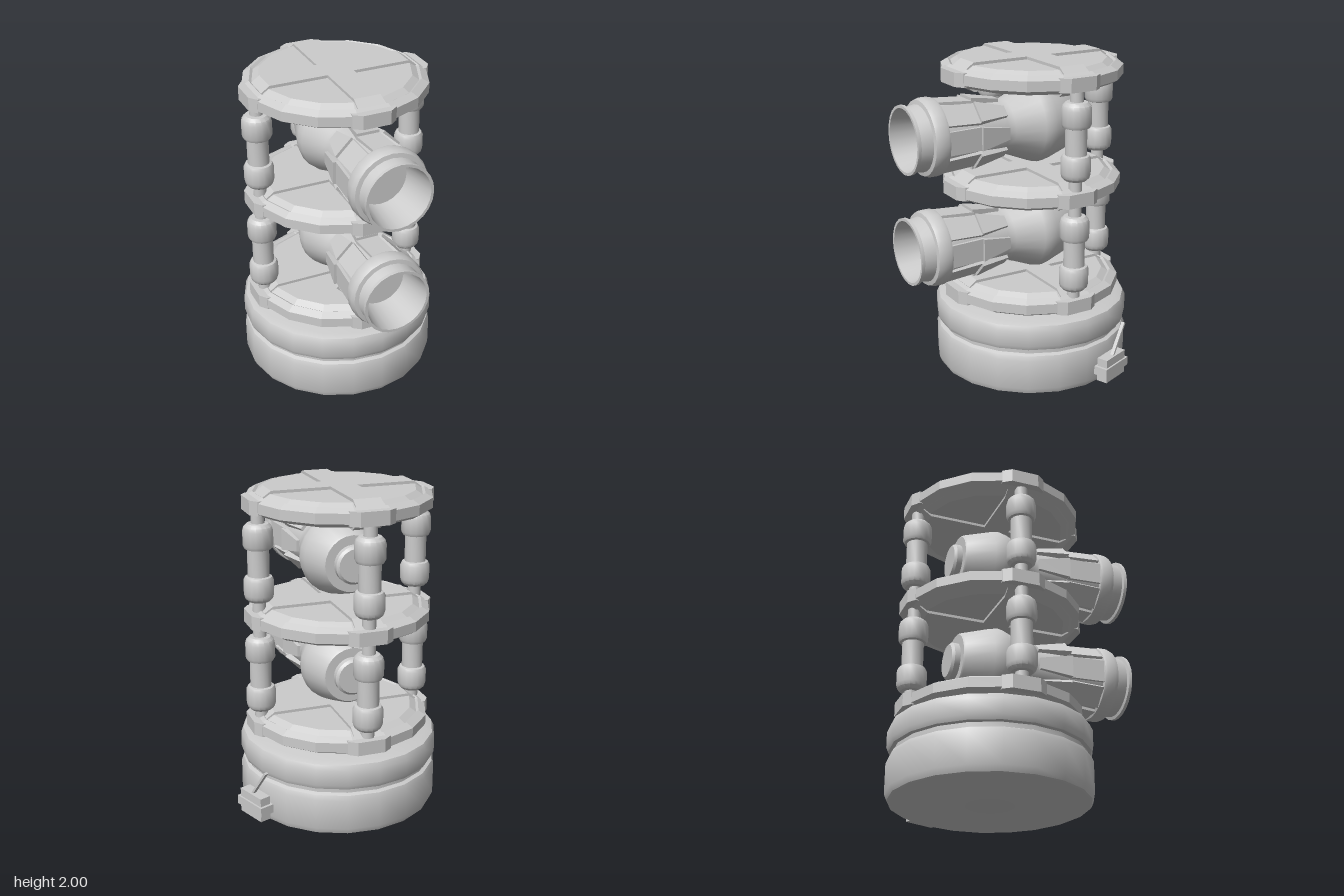
import * as THREE from 'three';
import { toCreasedNormals } from 'three/addons/utils/BufferGeometryUtils.js';

const smooth = new THREE.MeshStandardMaterial({ color: 0xcccccc });
const flat = new THREE.MeshStandardMaterial({ color: 0xcccccc, flatShading: true });
const CX = -0.045, CZ = -0.125; // axis of the stack
const DISCS = [0.55, 1.223, 1.91]; // disc mid heights
const LEVELS = [0.88, 1.57]; // barrel heights

function add(parent, name, geometry, material = smooth) {
  const mesh = new THREE.Mesh(geometry, material);
  mesh.name = name;
  parent.add(mesh);
  return mesh;
}

function lathe(points, sides, start = 0) {
  const pts = points.map(([r, y]) => new THREE.Vector2(r, y));
  return toCreasedNormals(new THREE.LatheGeometry(pts, sides, start), 0.6);
}

function prism(points, depth) {
  const shape = new THREE.Shape(points.map(([x, y]) => new THREE.Vector2(x, y)));
  return new THREE.ExtrudeGeometry(shape, { depth, bevelEnabled: false }).translate(0, 0, -depth / 2);
}

// Chamfered disc with a raised cross on both faces and four edge clamps
function makeDisc() {
  const disc = new THREE.Group();
  disc.name = 'disc';
  add(disc, 'plate', lathe([
    [0, -0.07], [0.455, -0.07], [0.495, -0.045], [0.51, -0.055], [0.555, -0.03],
    [0.555, 0.03], [0.51, 0.055], [0.495, 0.045], [0.455, 0.07], [0, 0.07],
  ], 16, Math.PI / 16), flat);
  const bar = prism([
    [-0.5, -0.045], [-0.44, -0.087], [0.44, -0.087], [0.5, -0.045],
    [0.5, 0.045], [0.44, 0.087], [-0.44, 0.087], [-0.5, 0.045],
  ], 0.165);
  const clamp = prism([
    [-0.085, 0.45], [0.085, 0.45], [0.135, 0.49], [0.135, 0.535],
    [0.085, 0.572], [-0.085, 0.572], [-0.135, 0.535], [-0.135, 0.49],
  ], 0.084).rotateX(Math.PI / 2);
  for (let i = 0; i < 4; i++) {
    if (i < 2) add(disc, 'crossBar', bar, flat).rotation.y = i * Math.PI / 2;
    add(disc, 'edgeClamp', clamp, flat).rotation.y = i * Math.PI / 2;
  }
  return disc;
}

// Upright post with two rounded collars, centred on its own middle
function makePost() {
  const half = [[0.04, 0.335], [0.04, 0.235], [0.065, 0.233], [0.083, 0.215],
    [0.09, 0.19], [0.09, 0.105], [0.08, 0.085], [0.065, 0.08]];
  const lower = half.map(([r, y]) => [r, -y]);
  return lathe([...lower, ...half.reverse()], 16);
}

// Barrel pointing to +z, with a stepped bore and tapered ribs
function makeBarrel() {
  const barrel = new THREE.Group();
  barrel.name = 'barrel';
  add(barrel, 'barrelBody', lathe([
    [0, -0.41], [0.1, -0.41], [0.115, -0.395], [0.115, -0.36], [0.17, -0.36], [0.18, -0.35],
    [0.235, -0.18], [0.246, -0.13], [0.238, -0.09], [0.17, 0.08], [0.167, 0.13],
    [0.195, 0.33], [0.213, 0.54], [0.23, 0.545], [0.235, 0.56], [0.235, 0.61], [0.225, 0.635],
    [0.2, 0.64], [0.187, 0.715], [0.207, 0.72], [0.207, 0.74], [0.19, 0.74],
    [0.165, 0.55], [0.16, 0.5], [0, 0.5],
  ], 24).rotateX(Math.PI / 2));

  // Ribs narrow and drop toward the waist
  const rib = new THREE.BoxGeometry(1, 1, 1);
  const p = rib.attributes.position;
  for (let i = 0; i < p.count; i++) {
    const wide = p.getZ(i) > 0, top = p.getY(i) > 0;
    p.setXYZ(i, Math.sign(p.getX(i)) * (wide ? 0.07 : 0.035),
      top ? (wide ? 0.218 : 0.184) : 0.12, wide ? 0.33 : 0.13);
  }
  // Thin cover strips continue the ribs up to the muzzle band
  const strip = rib.clone();
  const q = strip.attributes.position;
  for (let i = 0; i < q.count; i++) {
    const front = q.getZ(i) > 0.2, top = q.getY(i) > 0.15;
    q.setXYZ(i, Math.sign(q.getX(i)) * 0.07, top ? (front ? 0.216 : 0.2) : 0.17, front ? 0.545 : 0.32);
  }
  for (let i = 0; i < 8; i++) {
    add(barrel, 'rib', rib, flat).rotation.z = i * Math.PI / 4;
    add(barrel, 'coverStrip', strip, flat).rotation.z = i * Math.PI / 4;
  }
  return barrel;
}

// Small tiered box with a slanted aerial; local x is outward
function makeTransmitter() {
  const unit = new THREE.Group();
  unit.name = 'transmitter';
  const tiers = [[0.07, 0.05, 0.2, 0.065], [0.092, 0.055, 0.235, 0.113], [0.07, 0.055, 0.2, 0.165]];
  for (const [w, h, d, y] of tiers) {
    add(unit, 'transmitterTier', new THREE.BoxGeometry(w, h, d).translate(0, y, 0), flat);
  }
  const from = new THREE.Vector3(0.01, 0.18, 0.01), to = new THREE.Vector3(0.005, 0.365, -0.12);
  const aerial = add(unit, 'aerial', new THREE.BoxGeometry(0.022, from.distanceTo(to), 0.014), flat);
  aerial.position.copy(from).lerp(to, 0.5);
  aerial.quaternion.setFromUnitVectors(new THREE.Vector3(0, 1, 0), to.clone().sub(from).normalize());
  return unit;
}

export function createModel() {
  const model = new THREE.Group();
  model.name = 'stackedBarrelTower';
  const stack = new THREE.Group();
  stack.name = 'stack';
  stack.position.set(CX, 0, CZ);
  model.add(stack);

  // Drum base with a groove around it
  add(stack, 'base', lathe([
    [0, 0], [0.56, 0], [0.597, 0.015], [0.612, 0.05], [0.612, 0.235], [0.6, 0.265], [0.578, 0.275],
    [0.578, 0.303], [0.6, 0.308], [0.612, 0.335], [0.612, 0.43], [0.597, 0.462], [0.56, 0.475], [0, 0.475],
  ], 20, Math.PI / 50));

  for (const y of DISCS) {
    const disc = makeDisc();
    disc.position.y = y;
    stack.add(disc);
  }

  // Posts stand at both sides and the back
  const post = makePost();
  for (const y of LEVELS) {
    for (const [x, z] of [[-0.5, 0], [0.5, 0], [0, -0.5]]) {
      add(stack, 'post', post).position.set(x, y - 0.005, z);
    }
    const barrel = makeBarrel();
    barrel.position.set(CX, y, 0);
    model.add(barrel);
  }

  const transmitter = makeTransmitter();
  transmitter.position.set(0.568, 0, -0.343);
  transmitter.rotation.y = 0.37;
  model.add(transmitter);
  return model;
}
